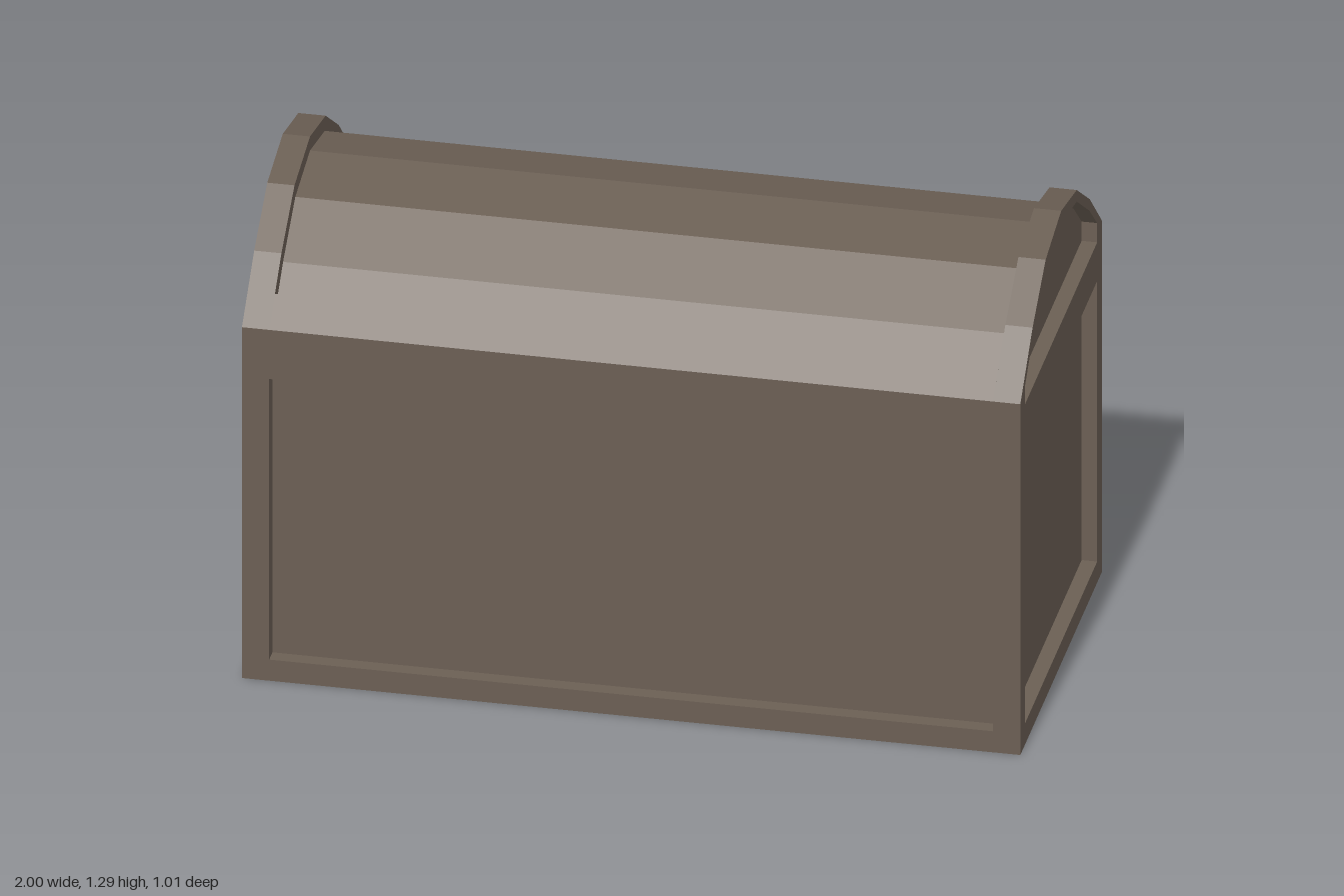
import * as THREE from 'three';

const wood = new THREE.MeshStandardMaterial({ color: 0x6b5f54, flatShading: true });
wood.name = 'brown wood';

const W = 1, RIM = 0.93, DEPTH = 0.04;

const points = (list) => list.map(([a, b]) => new THREE.Vector2(a, b));
// right half, bottom to top, mirrored into a closed outline (apex is the last point)
const mirrored = (half) => [...half, ...half.slice(0, -1).reverse().map(([a, b]) => [-a, b])];
const extrude = (shape, depth) => new THREE.ExtrudeGeometry(shape, { depth, bevelEnabled: false });

// extrude a (z, y) outline along x between x0 and x1
function alongX(shape, x0, x1) {
  return extrude(shape, x1 - x0).rotateY(-Math.PI / 2).translate(x1, 0, 0);
}

export function createModel() {
  const chest = new THREE.Group();
  chest.name = 'chest';
  const add = (name, geometry) => {
    const mesh = new THREE.Mesh(geometry, wood);
    mesh.name = name;
    chest.add(mesh);
  };

  // middle of the chest: rails, recessed front and back panels, sunken barrel lid
  const lidHalf = [[0.5, 1], [0.43, 1.066], [0.403, 1.036], [0.33, 1.105], [0.18, 1.212], [0, 1.25]];
  const front = [[0.5, 0], [0.5, 0.06], [0.46, 0.06], [0.46, 0.86], [0.5, 0.86]];
  const back = [[-0.46, 1], [-0.46, 0.06], [-0.5, 0.06], [-0.5, 0]];
  const core = new THREE.Shape(points([...front, ...mirrored(lidHalf), ...back]));
  add('bodyAndLid', alongX(core, -RIM, RIM));

  // end walls: a solid slab plus an outer frame with two openings
  const outline = mirrored([[0.5, 0], [0.5, 1], [0.35, 1.14], [0.19, 1.25], [0, 1.29]]);
  const lowerOpening = [[0.44, 0.06], [0.44, 0.86], [-0.44, 0.86], [-0.44, 0.06]];
  const upperOpening = mirrored([[0.44, 0.97], [0.44, 1.025], [0.345, 1.11], [0.19, 1.217], [0, 1.255]]);
  for (const side of [-1, 1]) {
    const label = side > 0 ? 'left' : 'right';
    const span = (a, b) => (side > 0 ? [a, b] : [-b, -a]);
    add(label + 'EndPanel', alongX(new THREE.Shape(points(outline)), ...span(RIM, W - DEPTH)));
    const frame = new THREE.Shape(points(outline));
    for (const hole of [lowerOpening, upperOpening]) frame.holes.push(new THREE.Path(points(hole)));
    add(label + 'EndFrame', alongX(frame, ...span(W - DEPTH, W)));
  }

  // back top rail with the hanging lock tab and its keyhole
  const tab = [[-0.19, 0.86], [-0.15, 0.83], [-0.09, 0.73], [-0.05, 0.695], [0, 0.685],
    [0.05, 0.695], [0.09, 0.73], [0.15, 0.83], [0.19, 0.86]];
  const rail = new THREE.Shape(points([[-RIM, 0.86], ...tab, [RIM, 0.86], [RIM, 1], [-RIM, 1]]));
  const keyhole = [[0, 0.73], [0.02, 0.745], [0.02, 0.77], [0.01, 0.785], [0.026, 0.81],
    [0.028, 0.9], [0.015, 0.94], [0, 0.95]];
  rail.holes.push(new THREE.Path(points(mirrored(keyhole))));
  const railGeometry = extrude(rail, DEPTH).translate(0, 0, -0.5);
  // the tab leans slightly outward towards its lower end
  const p = railGeometry.attributes.position;
  for (let i = 0; i < p.count; i++) {
    if (p.getZ(i) < -0.49 && Math.abs(p.getX(i)) < 0.14) {
      p.setZ(i, -0.5 - 0.03 * (1 - p.getY(i)));
    }
  }
  railGeometry.computeVertexNormals();
  add('lockRail', railGeometry);

  return chest;
}
